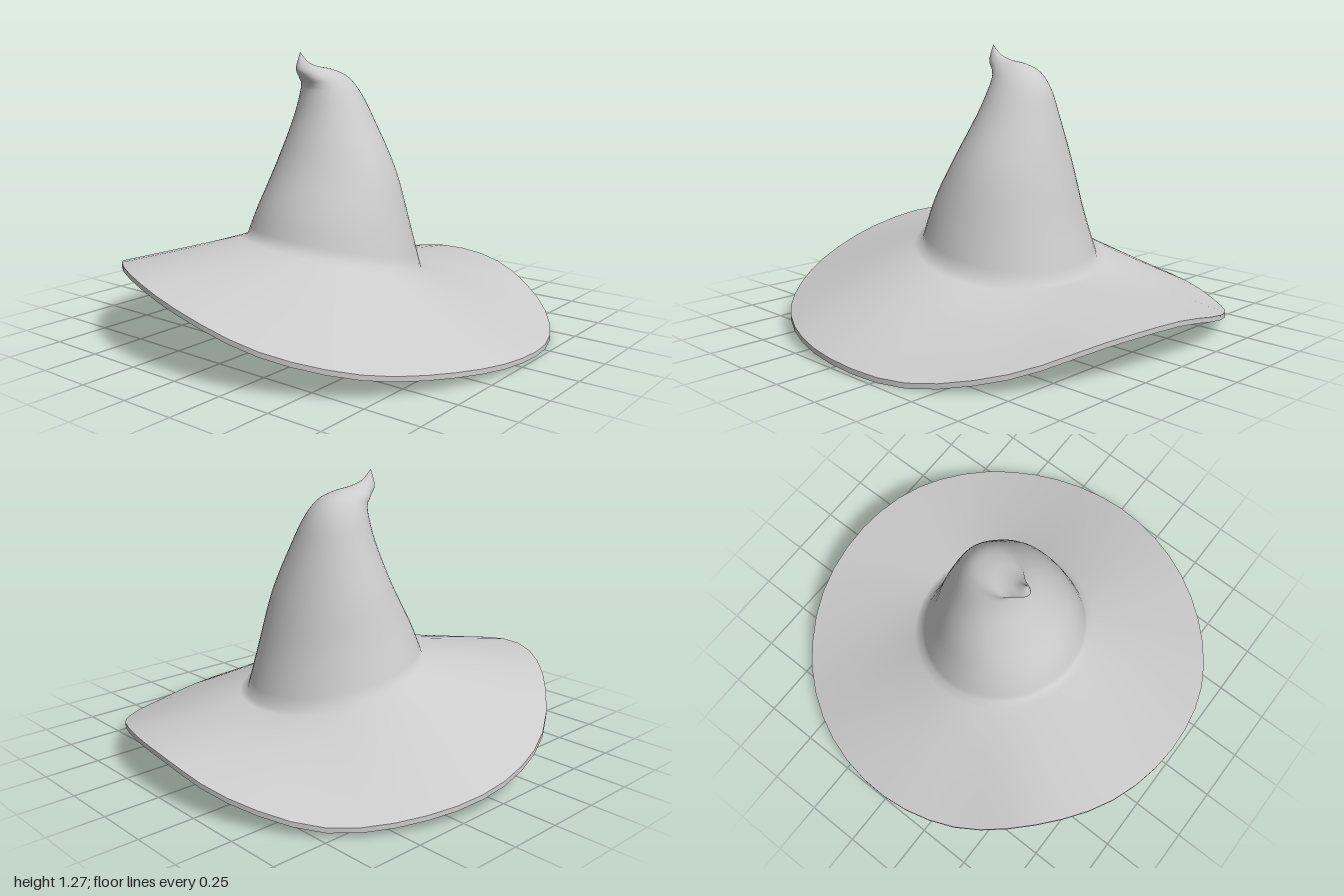
import * as THREE from 'three';

const N = 48; // columns around the hat

// Crown cross-sections from the base up to the curled tip:
// [right x, right y, left x, left y, centre z, half depth]
const SECTIONS = [
  [-0.38, 0.43, 0.43, 0.255, -0.01, 0.41],
  [-0.32, 0.58, 0.365, 0.48, -0.01, 0.355],
  [-0.215, 0.77, 0.305, 0.72, -0.015, 0.285],
  [-0.13, 0.96, 0.24, 0.94, -0.035, 0.195],
  [-0.097, 1.08, 0.195, 1.07, -0.05, 0.14],
  [-0.1, 1.12, 0.135, 1.15, -0.058, 0.105],
  [-0.115, 1.138, 0.05, 1.186, -0.065, 0.078],
  [-0.133, 1.155, -0.03, 1.2, -0.068, 0.05],
  [-0.155, 1.178, -0.085, 1.217, -0.07, 0.032],
  [-0.16, 1.205, -0.118, 1.24, -0.07, 0.018],
  [-0.143, 1.268, -0.143, 1.268, -0.07, 0],
];

// Wavy brim edge at 16 even angles, from +x towards +z
const EDGE_Y = [0.165, 0.15, 0.06, 0.003, 0.02, 0.05, 0.085, 0.165, 0.27, 0.335, 0.3, 0.16, 0.08, 0.04, 0.025, 0.095];
const EDGE_R = [0.98, 0.98, 1, 1.01, 1, 0.99, 0.99, 0.995, 0.98, 0.975, 0.965, 0.985, 1, 1.015, 1.025, 1.01];

const curve = (pick) => new THREE.CatmullRomCurve3(SECTIONS.map(pick), false, 'catmullrom');
const rightLine = curve((s) => new THREE.Vector3(s[0], s[1], 0));
const leftLine = curve((s) => new THREE.Vector3(s[2], s[3], 0));
const depthLine = curve((s) => new THREE.Vector3(s[4], s[5], 0));
const edgeCurve = new THREE.CatmullRomCurve3(EDGE_Y.map((y, i) => {
  const a = (i / 16) * Math.PI * 2;
  return new THREE.Vector3(Math.cos(a) * EDGE_R[i], y, Math.sin(a) * EDGE_R[i]);
}), true, 'catmullrom');

const row = (fn) => Array.from({ length: N }, (_, j) => fn(j / N));

// Tilted elliptical ring of the crown, t = 0 at the base and 1 at the tip
function crownRow(t, shrink = 0, drop = 0) {
  const r = rightLine.getPoint(t), l = leftLine.getPoint(t), d = depthLine.getPoint(t);
  const mid = r.clone().add(l).multiplyScalar(0.5);
  const half = l.clone().sub(r).multiplyScalar(0.5);
  const k = Math.max(0, 1 - shrink / Math.max(half.length(), 1e-4));
  const lean = 0.03 * Math.max(0, 1 - t * 8); // base sits lower at the front
  return row((u) => {
    const c = Math.cos(u * Math.PI * 2) * k, s = Math.sin(u * Math.PI * 2) * k;
    return new THREE.Vector3(mid.x + half.x * c, mid.y + half.y * c - lean * s - drop, d.x + Math.max(0, d.y) * s);
  });
}

// Ring of the brim, s = 0 at the crown and 1 at the edge
function brimRow(s, lift, shrink = 0) {
  const base = crownRow(0, shrink);
  return row((u) => {
    const p = base[Math.round(u * N)].clone().lerp(edgeCurve.getPoint(u), s);
    p.y += lift * s - (shrink ? 0.02 * (1 - s) : 0);
    return p;
  });
}

// Closed band through successive rings; flip turns the faces inwards
function skin(rows, name, flip = false) {
  const pos = rows.flat().flatMap((p) => [p.x, p.y, p.z]);
  const idx = [];
  for (let i = 0; i < rows.length - 1; i++) {
    for (let j = 0; j < N; j++) {
      const a = i * N + j, b = i * N + ((j + 1) % N), c = a + N, d = b + N;
      idx.push(...(flip ? [a, c, b, b, c, d] : [a, b, c, b, d, c]));
    }
  }
  const g = new THREE.BufferGeometry();
  g.setAttribute('position', new THREE.Float32BufferAttribute(pos, 3));
  g.setIndex(idx);
  g.computeVertexNormals();
  const mesh = new THREE.Mesh(g, new THREE.MeshStandardMaterial({ color: 0xcccccc, side: THREE.DoubleSide }));
  mesh.name = name;
  return mesh;
}

export function createModel() {
  const hat = new THREE.Group();
  hat.name = 'pointedHat';

  // Crown with curled tip flowing into the brim
  const outer = [];
  for (let i = 40; i >= 1; i--) outer.push(crownRow(i / 40));
  const steps = [0, 0.06, 0.15, 0.3, 0.45, 0.6, 0.75, 0.9, 1];
  for (const s of steps) outer.push(brimRow(s, 0.022));
  hat.add(skin(outer, 'crownAndBrim'));

  // Hollow inside of the crown and underside of the brim
  const apex = crownRow(0.48, 1, 0.01);
  const inner = [apex];
  for (let i = 18; i >= 1; i--) inner.push(crownRow(i / 40, 0.02, 0.02));
  for (const s of steps) inner.push(brimRow(s, 0, 0.02));
  hat.add(skin(inner, 'lining', true));

  // Thin edge joining the two layers
  hat.add(skin([brimRow(1, 0.022), brimRow(1, 0)], 'brimEdge'));
  return hat;
}
